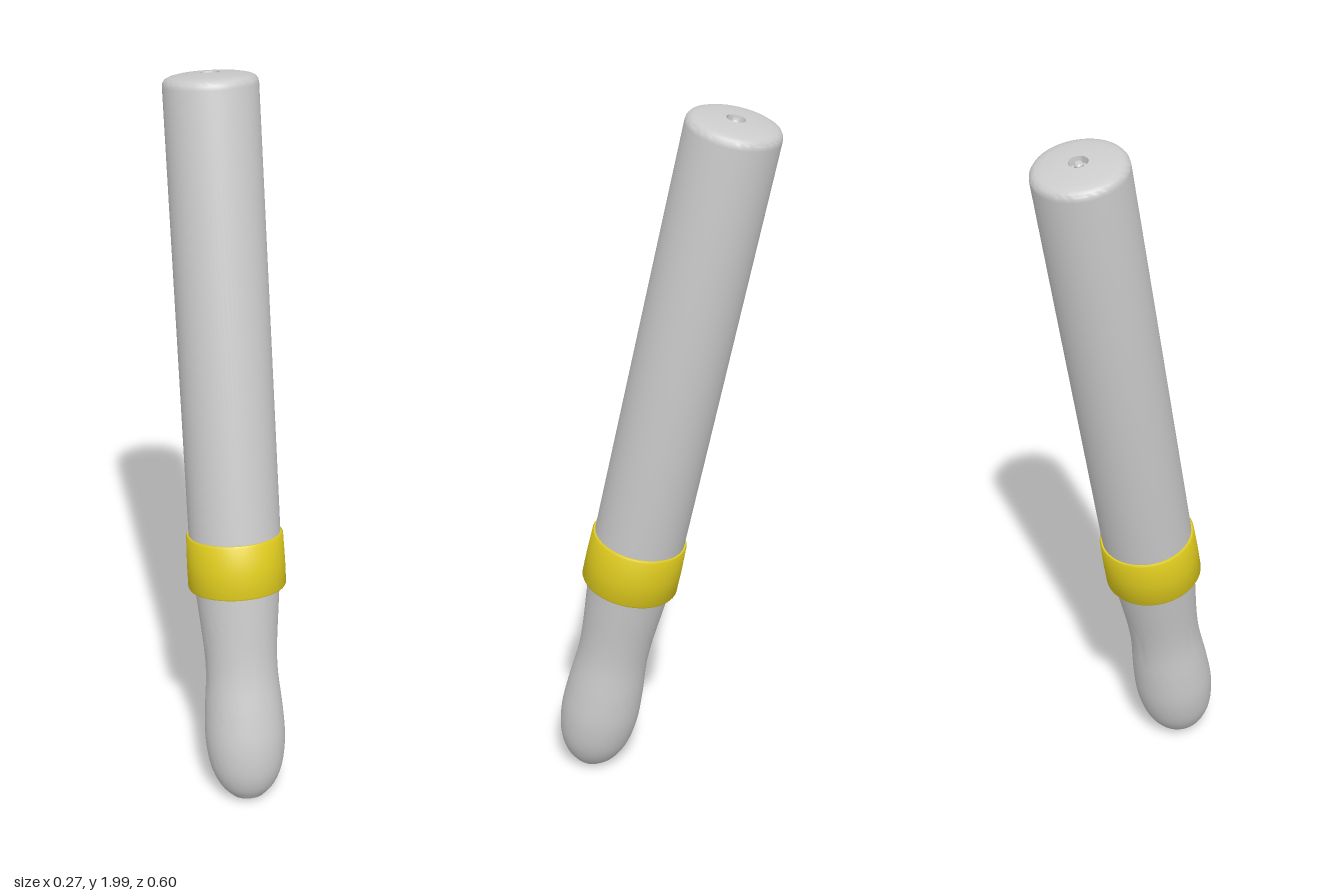
import * as THREE from 'three';
import { toCreasedNormals } from 'three/addons/utils/BufferGeometryUtils.js';

// Profiles are [radius, distance along the axis], from the bottom up.
const toPoints = (pairs) => pairs.map(([r, s]) => new THREE.Vector2(r, s));

function lathe(name, points, color = 0xcccccc) {
  const geometry = toCreasedNormals(new THREE.LatheGeometry(points, 64), 0.6);
  const mesh = new THREE.Mesh(geometry, new THREE.MeshStandardMaterial({ color }));
  mesh.name = name;
  return mesh;
}

export function createModel() {
  const model = new THREE.Group();
  model.name = 'baton';

  // Grip: smooth swelling curve on a small flat end
  const gripCurve = new THREE.SplineCurve(toPoints([
    [0.045, 0], [0.076, 0.034], [0.1, 0.09], [0.111, 0.17], [0.108, 0.26],
    [0.1, 0.36], [0.101, 0.44], [0.11, 0.55], [0.118, 0.64],
  ]));
  model.add(lathe('grip', [new THREE.Vector2(0, 0), ...gripCurve.getPoints(40)]));

  // Collar: yellow band with narrow chamfers
  model.add(lathe('collar', toPoints([
    [0.11, 0.619], [0.131, 0.619], [0.134, 0.624], [0.134, 0.69],
    [0.132, 0.766], [0.129, 0.771], [0.12, 0.771],
  ]), 0xe0cc1e));

  // Shaft: straight barrel, rounded rim, slightly domed end with a small recess
  model.add(lathe('shaft', toPoints([
    [0.123, 0.7], [0.125, 0.78], [0.125, 1.98], [0.1235, 1.991], [0.118, 1.999],
    [0.108, 2.004], [0.09, 2.008], [0.05, 2.012], [0.025, 2.013],
    [0.022, 1.995], [0, 1.993],
  ])));

  // Small pin head sitting in the recess
  model.add(lathe('pin', toPoints([
    [0.012, 1.99], [0.012, 2.006], [0.008, 2.011], [0, 2.012],
  ])));

  // Whole baton leans backwards
  model.rotation.x = -Math.atan(0.207);
  model.position.set(0, 0.011, 0.225);

  const root = new THREE.Group();
  root.add(model);
  return root;
}
